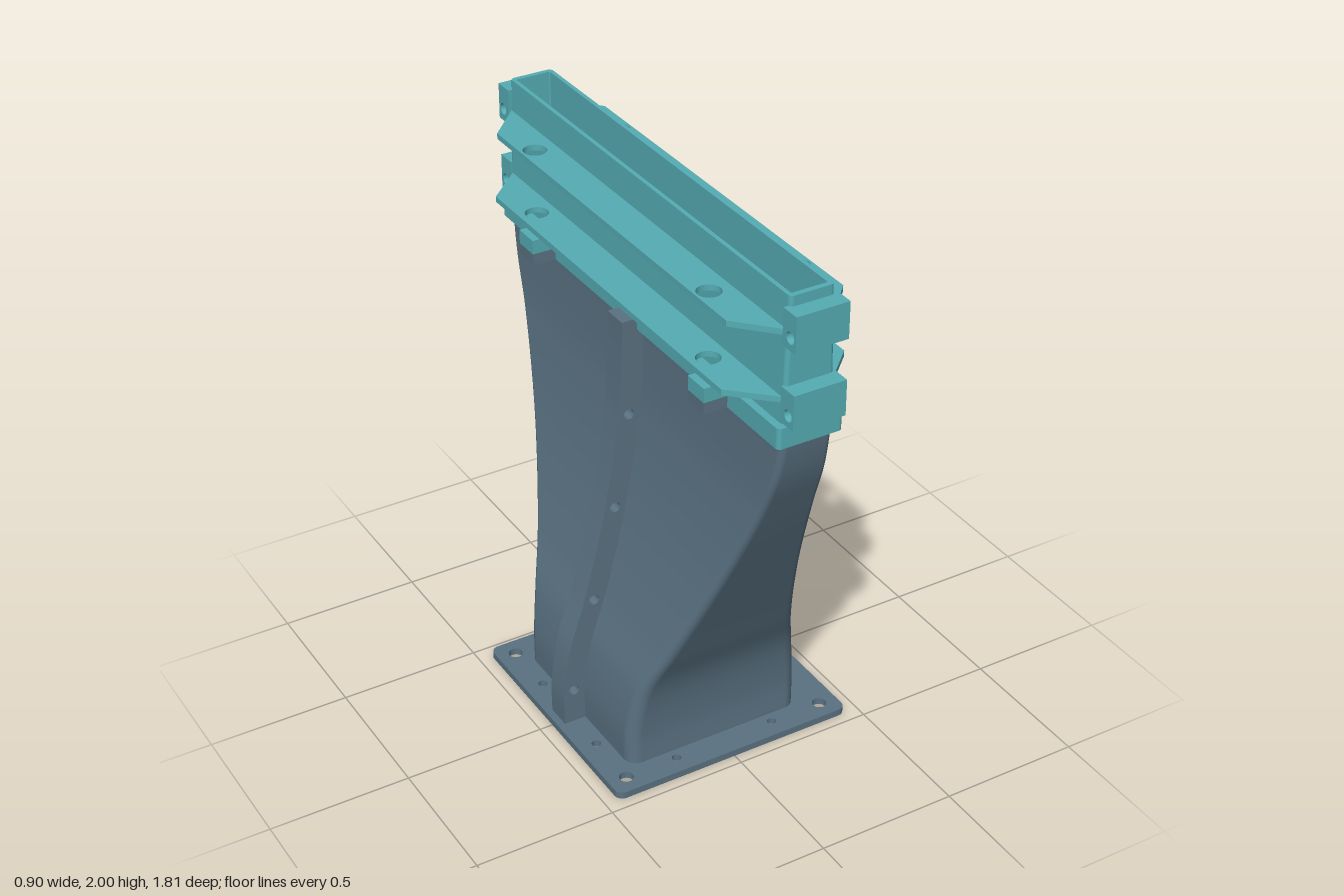
import * as THREE from 'three';
import { mergeGeometries } from 'three/addons/utils/BufferGeometryUtils.js';

const slate = new THREE.MeshStandardMaterial({ color: 0x5a7282 });
slate.name = 'slate grey';
const teal = new THREE.MeshStandardMaterial({ color: 0x55adb4 });
teal.name = 'teal';

const CX = -0.016; // the duct sits slightly off the base plate's centre

// Closed polygon with optional round holes [x, y, radius]
function outline(points, holes = []) {
  const s = new THREE.Shape(points.map(([x, y]) => new THREE.Vector2(x, y)));
  for (const [x, y, r] of holes) s.holes.push(new THREE.Path().absarc(x, y, r, 0, Math.PI * 2, true));
  return s;
}

const box = (x0, x1, y0, y1) => [[x0, y0], [x1, y0], [x1, y1], [x0, y1]];

// Rounded rectangle ring, counter-clockwise in (x, y)
function ring(hx, hy, r, n = 6) {
  const pts = [];
  [[1, 1], [-1, 1], [-1, -1], [1, -1]].forEach(([sx, sy], q) => {
    for (let i = 0; i <= n; i++) {
      const a = (q + i / n) * Math.PI / 2;
      pts.push([sx * (hx - r) + r * Math.cos(a), sy * (hy - r) + r * Math.sin(a)]);
    }
  });
  return pts;
}

function extrude(shape, depth) {
  return new THREE.ExtrudeGeometry(shape, { depth, bevelEnabled: false, curveSegments: 20 });
}

// Horizontal plate from y0 to y1
function slab(shape, y0, y1) {
  return extrude(shape, y1 - y0).rotateX(-Math.PI / 2).translate(0, y0, 0);
}

// Smooth skin through sections [y, halfX, halfZ, cornerRadius]
function skin(sections) {
  const pos = [], idx = [];
  let m = 0;
  for (const [y, hx, hz, r] of sections) {
    const pts = ring(hx, hz, r);
    m = pts.length;
    for (const [x, z] of pts) pos.push(x, y, -z);
  }
  for (let j = 0; j < sections.length - 1; j++) {
    for (let i = 0; i < m; i++) {
      const a = j * m + i, b = j * m + (i + 1) % m;
      idx.push(a, b, b + m, a, b + m, a + m);
    }
  }
  const g = new THREE.BufferGeometry();
  g.setAttribute('position', new THREE.Float32BufferAttribute(pos, 3));
  g.setIndex(idx);
  g.computeVertexNormals();
  return g;
}

export function createModel() {
  const model = new THREE.Group();
  const duct = new THREE.Group();
  duct.name = 'duct';
  duct.position.x = CX;
  model.add(duct);
  const add = (parent, name, geometry, material) => {
    const mesh = new THREE.Mesh(geometry, material);
    mesh.name = name;
    parent.add(mesh);
    return mesh;
  };

  // Base flange with bolt holes and the duct opening
  const holes = [];
  for (const sx of [-1, 1]) for (const sz of [-1, 1]) {
    holes.push([sx * 0.385, sz * 0.393, 0.025], [sx * 0.385, sz * 0.19, 0.016], [sx * 0.19, sz * 0.393, 0.016]);
  }
  const base = outline(ring(0.452, 0.46, 0.03), holes);
  base.holes.push(new THREE.Path(ring(0.312, 0.337, 0.035).map(([x, z]) => new THREE.Vector2(x + CX, z)).reverse()));
  add(model, 'baseFlange', slab(base, 0, 0.025), slate);

  // Flow of the duct: half width, height, half depth
  const flow = new THREE.CatmullRomCurve3([
    [0.33, 0, 0.355], [0.33, 0.15, 0.355], [0.303, 0.33, 0.382], [0.247, 0.505, 0.455], [0.162, 0.85, 0.607],
    [0.107, 1.19, 0.756], [0.095, 1.36, 0.822], [0.09, 1.5, 0.85], [0.09, 1.54, 0.85],
  ].map(p => new THREE.Vector3(...p)));
  const path = flow.getPoints(56);

  // Hollow duct body
  const T = 0.018;
  const outer = path.map(p => [p.y, p.x, p.z, 0.022 + 0.1 * (p.x - 0.09)]);
  const inner = outer.map(([y, hx, hz, r]) => [y, hx - T, hz - T, r * 0.7]).reverse();
  const top = outer[outer.length - 1];
  add(duct, 'ductBody', mergeGeometries([
    skin(outer), skin([top, inner[0]]), skin(inner), skin([inner[inner.length - 1], outer[0]]),
  ]), slate);

  // Curved bolting ribs on both broad sides
  const ribEdge = path.map(p => [p.x - 0.004, p.y]);
  const ribOuter = path.map(p => [p.x + 0.08, p.y]);
  const ribHoles = [[0.372, 0.156, 0.019], [0.288, 0.505, 0.019], [0.203, 0.85, 0.019], [0.147, 1.193, 0.019]];
  const rib = extrude(outline([...ribOuter, ...ribEdge.reverse()], ribHoles), 0.09).translate(0, 0, -0.045);
  add(duct, 'leftRib', rib, slate);
  add(duct, 'rightRib', rib, slate).rotation.y = Math.PI;

  // Nozzle: collar, tapered walls and the socket that takes the duct
  const profile = [
    [1.5, 0.115, 0.865, 0.015], [1.572, 0.115, 0.865, 0.015], [1.572, 0.09, 0.85, 0.015], [2, 0.077, 0.85, 0.015],
    [2, 0.0625, 0.832, 0.004], [1.54, 0.0625, 0.832, 0.004], [1.54, 0.09, 0.85, 0.022], [1.5, 0.09, 0.85, 0.022],
    [1.5, 0.115, 0.865, 0.015],
  ];
  add(duct, 'nozzle', mergeGeometries(profile.slice(1).map((p, i) => skin([profile[i], p]))), teal);

  // Stiffening plates around the nozzle
  for (const [name, y, w] of [['lowerPlate', 1.642, 0.217], ['upperPlate', 1.87, 0.203]]) {
    const pts = [[w, -0.71], [w, 0.71], [0.08, 0.842], [-0.08, 0.842], [-w, 0.71], [-w, -0.71], [-0.08, -0.842], [0.08, -0.842]];
    const access = [];
    for (const sx of [-1, 1]) for (const sz of [-1, 1]) access.push([sx * 0.155, sz * 0.538, 0.04]);
    const shape = outline(pts, access);
    shape.holes.push(new THREE.Path(box(-0.07, 0.07, -0.838, 0.838).reverse().map(p => new THREE.Vector2(...p))));
    add(duct, name, slab(shape, y, y + 0.02), teal);
  }

  // Screw tabs: teal upper half on a slate lower half
  const tabUpper = slab(outline(box(0.11, 0.198, -0.046, 0.046), [[0.155, 0, 0.016]]), 1.54, 1.59);
  const tabLower = slab(outline(box(0.085, 0.198, -0.046, 0.046), [[0.155, 0, 0.026]]), 1.5, 1.54);
  for (const turn of [0, Math.PI]) for (const z of [-0.538, 0.538]) {
    const tab = new THREE.Group();
    tab.name = 'screwTab';
    tab.rotation.y = turn;
    tab.position.z = z;
    add(tab, 'tabUpper', tabUpper, teal);
    add(tab, 'tabLower', tabLower, slate);
    duct.add(tab);
  }

  // Drilled lugs on both narrow ends
  for (const [y0, y1, hole] of [[1.58, 1.702, 1.62], [1.84, 1.965, 1.882]]) {
    const lug = extrude(outline(box(0.838, 0.907, y0, y1), [[0.878, hole, 0.02]]), 0.184)
      .translate(0, 0, -0.092).rotateY(-Math.PI / 2);
    add(duct, 'frontLug', lug, teal);
    add(duct, 'backLug', lug, teal).rotation.y = Math.PI;
  }

  return model;
}
